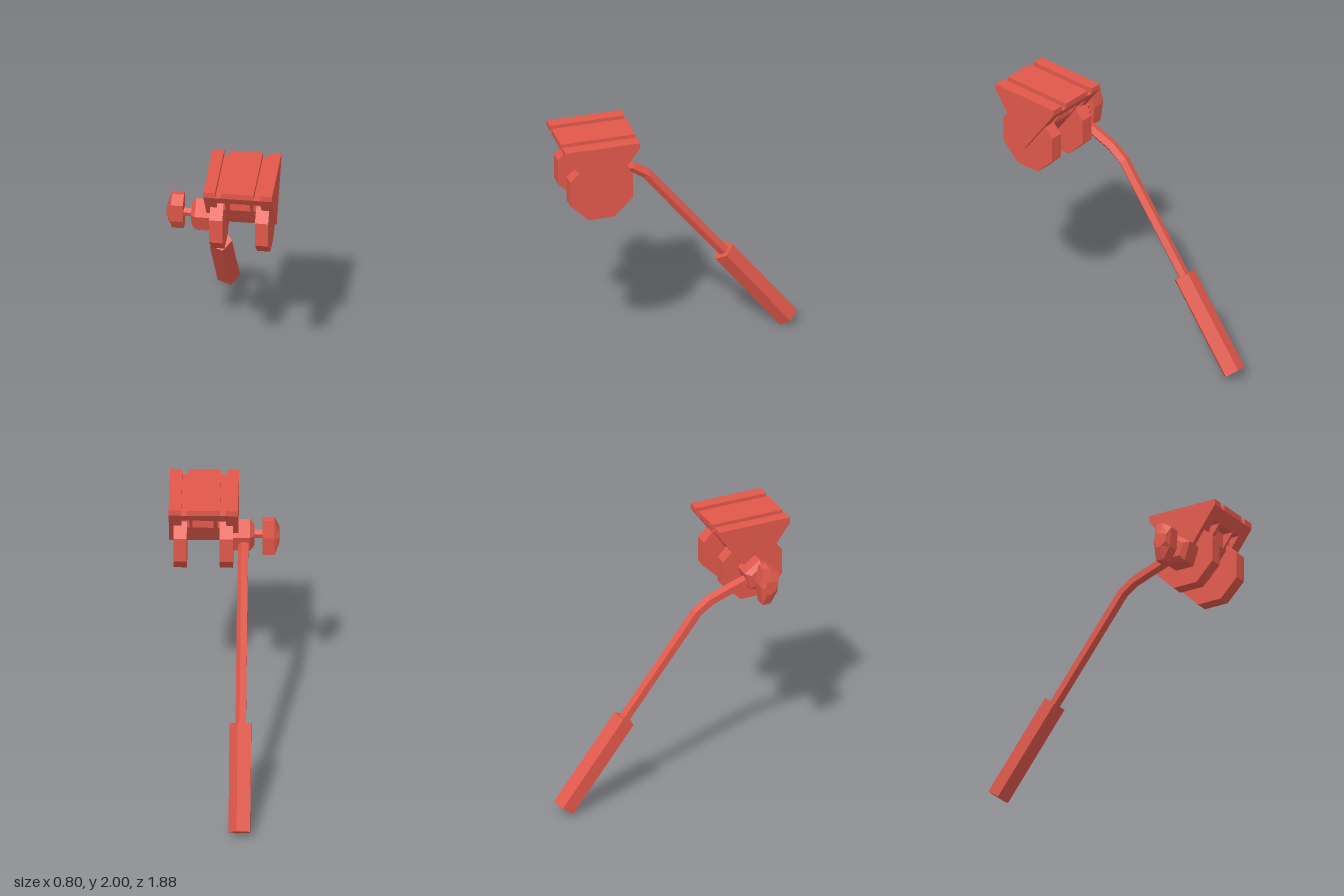
import * as THREE from 'three';

const paint = new THREE.MeshStandardMaterial({ color: 0xe0584a });
paint.name = 'red';

// Faceted mesh with flat normals
function part(name, geometry) {
  const g = geometry.index ? geometry.toNonIndexed() : geometry;
  g.computeVertexNormals();
  const mesh = new THREE.Mesh(g, paint);
  mesh.name = name;
  return mesh;
}

// Side profile of [z, y] points, extruded from x0 to x1
function slab(profile, x0, x1, steps = 1) {
  const shape = new THREE.Shape(profile.map(([z, y]) => new THREE.Vector2(-z, y)));
  const g = new THREE.ExtrudeGeometry(shape, { depth: x1 - x0, bevelEnabled: false, steps });
  return g.rotateY(Math.PI / 2).translate(x0, 0, 0);
}

// Five-sided turned part along x; profile is [radius, x] running towards -x
function turned(profile, y, z) {
  const g = new THREE.LatheGeometry(profile.map(([r, x]) => new THREE.Vector2(r, -x)), 5);
  return g.rotateZ(Math.PI / 2).rotateX(-Math.PI / 2).translate(0, y, z);
}

// Five-sided bar following a path of [z, y] points at a fixed x
function bar(path, x, radius) {
  const pts = path.map(([z, y]) => new THREE.Vector3(x, y, z));
  const X = new THREE.Vector3(1, 0, 0);
  const rings = pts.map((p, i) => {
    const a = pts[Math.max(i - 1, 0)], b = pts[Math.min(i + 1, pts.length - 1)];
    const N = b.clone().sub(a).normalize().cross(X);
    return Array.from({ length: 5 }, (_, j) => {
      const t = (j * Math.PI * 2) / 5;
      return p.clone().addScaledVector(X, radius * Math.cos(t)).addScaledVector(N, radius * Math.sin(t));
    });
  });
  const tris = [];
  const last = rings.length - 1;
  for (let j = 0; j < 5; j++) {
    const k = (j + 1) % 5;
    for (let i = 0; i < last; i++) {
      const A = rings[i], B = rings[i + 1];
      tris.push(A[j], A[k], B[j], A[k], B[k], B[j]);
    }
    tris.push(pts[0], rings[0][k], rings[0][j]);
    tris.push(pts[last], rings[last][j], rings[last][k]);
  }
  return new THREE.BufferGeometry().setFromPoints(tris);
}

export function createModel() {
  const model = new THREE.Group();
  model.name = 'panHead';
  const cz = 0.662;

  // Top plate: three strips separated by two grooves
  for (const [x0, x1] of [[-0.105, -0.02], [0.025, 0.26], [0.305, 0.395]]) {
    const strip = new THREE.BoxGeometry(x1 - x0, 0.043, 0.56);
    model.add(part('plateStrip', strip.translate((x0 + x1) / 2, 1.9785, cz)));
  }

  // V-shaped cradle, with notched windows between solid ribs
  const mirrored = (half) => [
    ...half.map(([z, y]) => [cz + z, y]),
    [cz, 1.57],
    ...half.map(([z, y]) => [cz - z, y]).reverse(),
  ];
  const solid = mirrored([[0.28, 1.957]]);
  const notched = mirrored([[0.28, 1.957], [0.224, 1.88], [0.144, 1.88], [0.144, 1.769]]);
  const cuts = [-0.105, -0.02, 0.045, 0.073, 0.225, 0.245, 0.305, 0.395];
  for (let i = 0; i < cuts.length - 1; i++) {
    const rib = i % 2 === 0;
    model.add(part(rib ? 'cradleRib' : 'cradleWindow', slab(rib ? solid : notched, cuts[i], cuts[i + 1])));
  }

  // Two octagonal tilt discs
  const disc = Array.from({ length: 8 }, (_, i) => {
    const t = ((i + 0.5) * Math.PI) / 4;
    return [cz + 0.254 * Math.cos(t), 1.632 + 0.254 * Math.sin(t)];
  });
  for (const x of [-0.068, 0.265]) model.add(part('tiltDisc', slab(disc, x, x + 0.096)));

  // Pivot drum and clamp stem on the right side
  model.add(part('pivotDrum', turned([[0, -0.03], [0.125, -0.03], [0.125, -0.19], [0.083, -0.22], [0, -0.22]], 1.63, cz)));
  model.add(part('clampStem', turned([[0.032, -0.21], [0.032, -0.29]], 1.632, cz)));

  // Wing knob with a tapered outer end
  const wing = [[0.735, 1.725], [0.66, 1.775], [0.61, 1.772], [0.585, 1.64], [0.605, 1.485], [0.665, 1.485], [0.722, 1.578]];
  const knob = slab(wing, -0.4, -0.28, 2);
  const pos = knob.attributes.position;
  for (let i = 0; i < pos.count; i++) {
    if (pos.getX(i) < -0.39) {
      pos.setY(i, 1.625 + (pos.getY(i) - 1.625) * 0.36);
      pos.setZ(i, cz + (pos.getZ(i) - cz) * 0.7);
    } else if (pos.getX(i) < -0.3) pos.setX(i, -0.367);
  }
  model.add(part('wingKnob', knob));

  // Bent pan handle and its grip
  model.add(part('handleRod', bar([[0.6, 1.6], [0.44, 1.545], [0.285, 1.488], [0.182, 1.417], [-0.42, 0.645]], -0.145, 0.042)));
  model.add(part('handleGrip', bar([[-0.395, 0.677], [-0.877, 0.053]], -0.147, 0.087)));

  return model;
}
